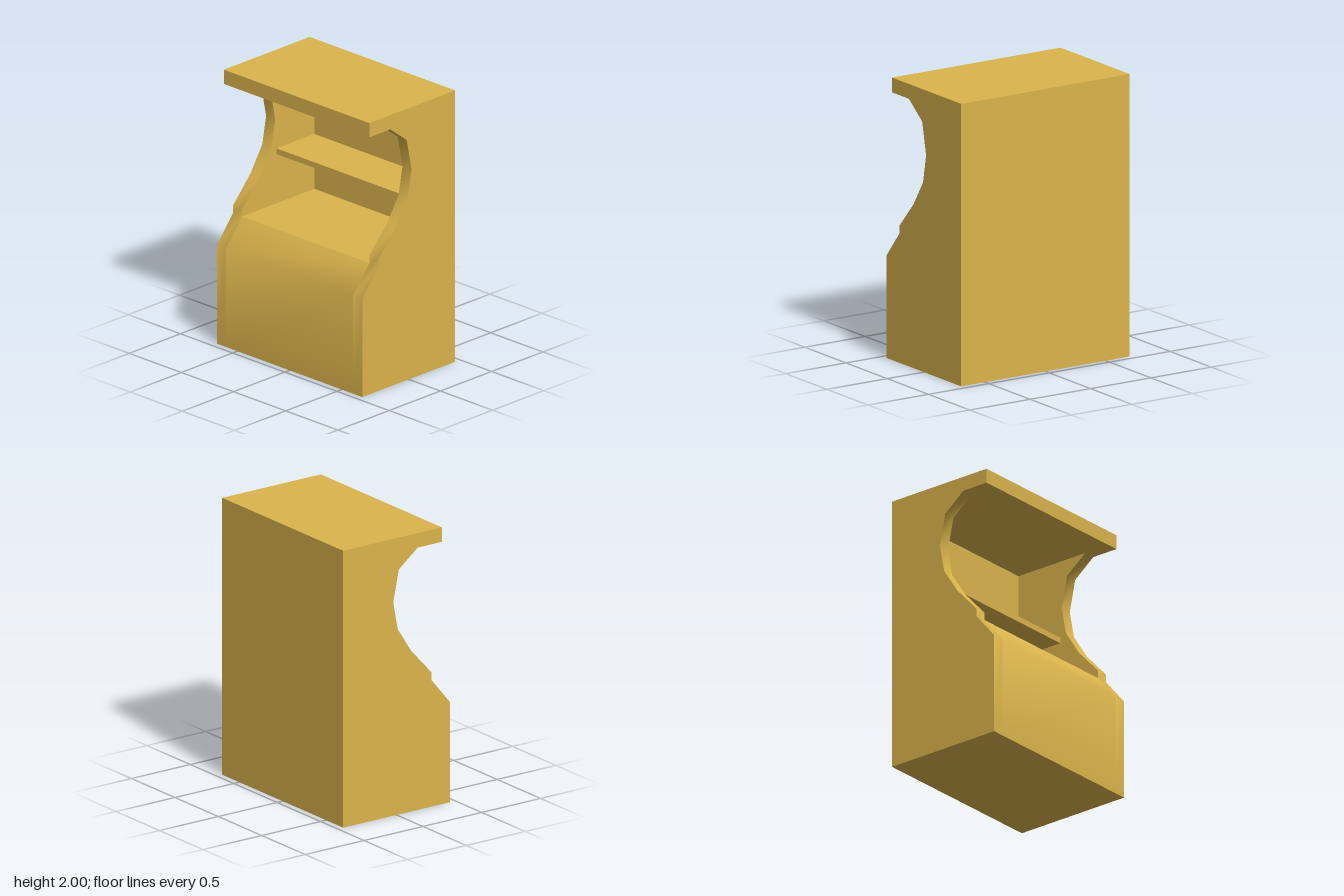
import * as THREE from 'three';
import { toCreasedNormals } from 'three/addons/utils/BufferGeometryUtils.js';

const HALF_WIDTH = 0.697, INNER = 0.61;
const FRONT = 0.453, BACK = -0.453, BACK_WALL = -0.41;
const DECK = 0.917, CEILING = 1.895, TOP = 2;

const ochre = new THREE.MeshStandardMaterial({ color: 0xdbb44c });
ochre.name = 'ochre';

// Extrudes a (z, y) outline across the width, from x0 to x1
function slab(name, outline, x0, x1) {
  const shape = new THREE.Shape(outline.map(([z, y]) => new THREE.Vector2(z, y)));
  const geometry = new THREE.ExtrudeGeometry(shape, { depth: x1 - x0, bevelEnabled: false });
  geometry.rotateY(-Math.PI / 2);
  geometry.translate(x1, 0, 0);
  const mesh = new THREE.Mesh(toCreasedNormals(geometry, THREE.MathUtils.degToRad(46)), ochre);
  mesh.name = name;
  return mesh;
}

export function createModel() {
  const cabinet = new THREE.Group();
  cabinet.name = 'cabinet';

  const lowerFront = [[BACK, 0], [FRONT, 0], [FRONT, 0.725], [0.295, DECK]];
  const canopy = [[0.385, CEILING], [0.385, TOP], [BACK, TOP]];

  // Side panels with the scooped front edge
  const sideOutline = [
    ...lowerFront,
    [0.295, 0.973], [0.125, 1.16], [0.01, 1.34], [-0.028, 1.54], [0.02, 1.77], [0.18, CEILING],
    ...canopy,
  ];
  cabinet.add(slab('leftSide', sideOutline, INNER, HALF_WIDTH));
  cabinet.add(slab('rightSide', sideOutline, -HALF_WIDTH, -INNER));

  // Base, deck, back wall and canopy between the sides
  const bodyOutline = [...lowerFront, [BACK_WALL, DECK], [BACK_WALL, CEILING], ...canopy];
  cabinet.add(slab('body', bodyOutline, -INNER, INNER));

  // Shelf inside the alcove
  const shelfOutline = [[BACK_WALL, 1.28], [-0.04, 1.28], [-0.04, 1.322], [BACK_WALL, 1.322]];
  cabinet.add(slab('shelf', shelfOutline, -INNER, INNER));

  return cabinet;
}
